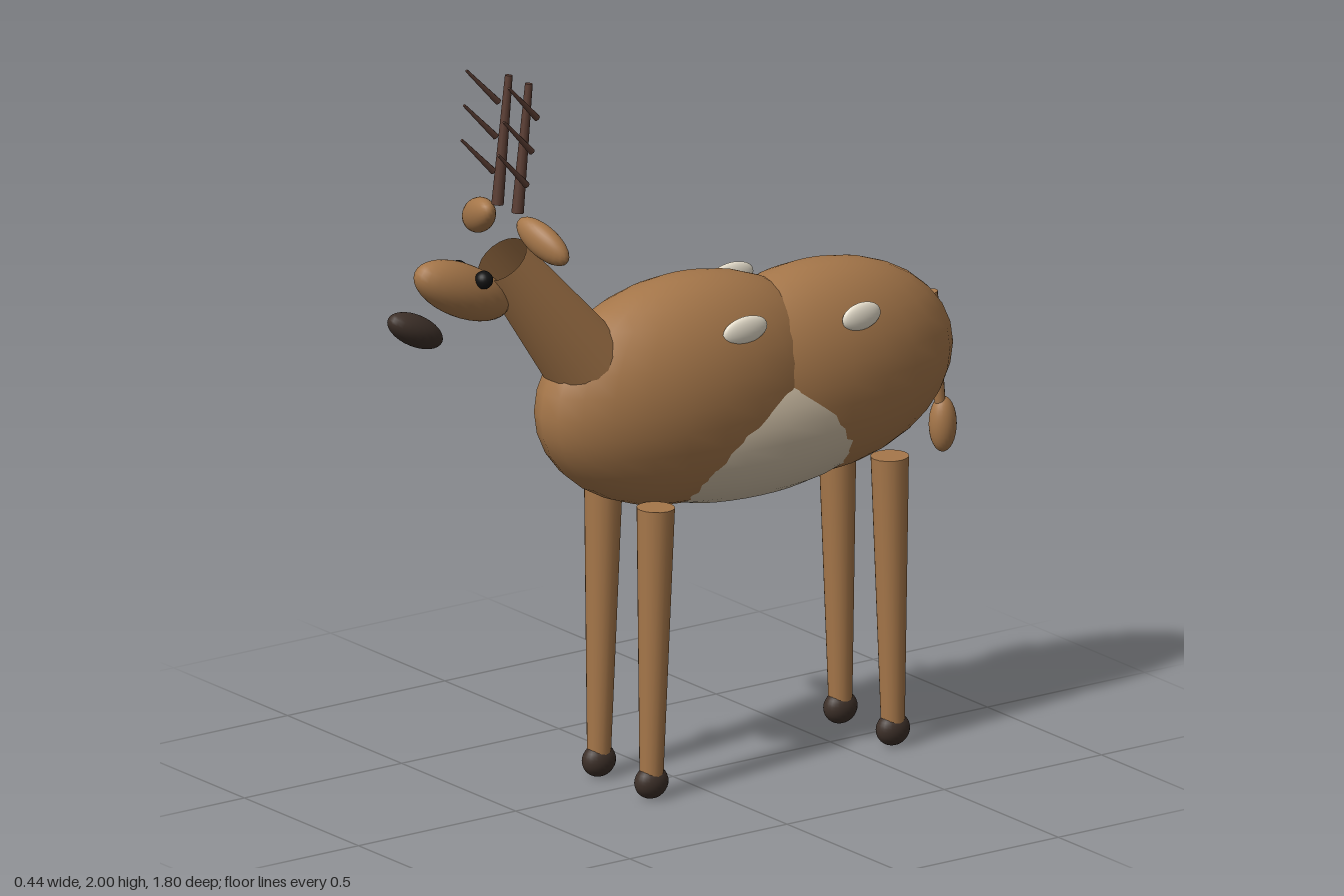
import * as THREE from 'three';

const mat = (color, side = THREE.FrontSide) => new THREE.MeshStandardMaterial({ color, side });
const coat = mat(0xa6774a);
const coatOpen = mat(0xa6774a, THREE.DoubleSide);
const cream = mat(0xcfbfa6);
const spotWhite = mat(0xeae2d0);
const dark = mat(0x3d3029);
const black = mat(0x111111);
const horn = mat(0x5a3d33);

export function createModel() {
  const model = new THREE.Group();
  model.name = 'deer';

  // Ellipsoid from centre, radii and optional rotation
  function ellipsoid(name, material, pos, radii, rot = [0, 0, 0]) {
    const mesh = new THREE.Mesh(new THREE.SphereGeometry(1, 24, 16), material);
    mesh.name = name;
    mesh.position.set(...pos);
    mesh.scale.set(...radii);
    mesh.rotation.set(...rot);
    model.add(mesh);
    return mesh;
  }

  // Tapered rod between two points
  function rod(name, material, from, to, r0, r1, sides = 16, open = false) {
    const a = new THREE.Vector3(...from);
    const b = new THREE.Vector3(...to);
    const dir = b.clone().sub(a);
    const mesh = new THREE.Mesh(
      new THREE.CylinderGeometry(r1, r0, dir.length(), sides, 1, open), material);
    mesh.name = name;
    mesh.position.copy(a).add(b).multiplyScalar(0.5);
    mesh.quaternion.setFromUnitVectors(new THREE.Vector3(0, 1, 0), dir.normalize());
    model.add(mesh);
    return mesh;
  }

  // Trunk
  ellipsoid('chest', coat, [0, 1.05, -0.03], [0.2, 0.305, 0.45]);
  ellipsoid('hindquarters', coat, [0, 1.03, -0.44], [0.19, 0.285, 0.43]);
  ellipsoid('belly', cream, [0, 0.95, -0.23], [0.19, 0.23, 0.5]);

  // Neck and head
  rod('neck', coatOpen, [0, 1.125, 0.24], [0, 1.5, 0.5425], 0.117, 0.072, 20, true);
  ellipsoid('head', coat, [0, 1.441, 0.672], [0.063, 0.07, 0.16], [-0.47, 0, 0]);
  ellipsoid('muzzle', dark, [0, 1.36, 0.82], [0.045, 0.041, 0.092], [-0.5, 0, 0]);

  // Paired parts, mirrored across x
  for (const s of [1, -1]) {
    const side = s > 0 ? 'left' : 'right';
    ellipsoid(side + 'Eye', black, [s * 0.056, 1.478, 0.642], [0.024, 0.024, 0.024]);
    ellipsoid(side + 'Ear', coat, [s * 0.14, 1.58, 0.515], [0.09, 0.045, 0.035],
      [0.15, s * 0.2, -s * 0.5]);

    // Antler beam with three loose tines
    rod(side + 'AntlerBeam', horn, [s * 0.044, 1.635, 0.526], [s * 0.044, 1.977, 0.49], 0.016, 0.01, 10);
    for (let i = 0; i < 3; i++) {
      const x = 0.073 + i * 0.006;
      const y = 1.715 + i * 0.09;
      const z = 0.518 - i * 0.012;
      rod(side + 'AntlerTine' + (i + 1), horn, [s * x, y, z],
        [s * (x + 0.008), y + 0.1, z + 0.095], 0.009, 0.004, 8);
    }

    // Legs and hooves
    for (const [end, topZ, footZ] of [['Front', 0.138, 0.152], ['Hind', -0.606, -0.616]]) {
      rod(side + end + 'Leg', coat, [s * 0.115, 0.05, footZ], [s * 0.115, 0.785, topZ], 0.031, 0.05);
      ellipsoid(side + end + 'Hoof', dark, [s * 0.115, 0.046, footZ], [0.036, 0.044, 0.048]);
    }
  }

  // Coat spots: x, y, z, half length
  const spots = [
    [0.162, 1.228, -0.112, 0.07],
    [0.162, 1.197, -0.482, 0.06],
    [-0.162, 1.255, -0.3, 0.073],
    [-0.172, 1.215, 0.074, 0.052],
  ];
  spots.forEach(([x, y, z, l], i) =>
    ellipsoid('spot' + (i + 1), spotWhite, [x, y, z], [0.016, 0.037, l], [0.06, 0, 0]));

  // Tail
  rod('tail', coat, [0, 1.16, -0.818], [0, 0.83, -0.852], 0.02, 0.014, 12);
  ellipsoid('tailTip', coat, [0, 0.795, -0.858], [0.035, 0.075, 0.037]);

  return model;
}
